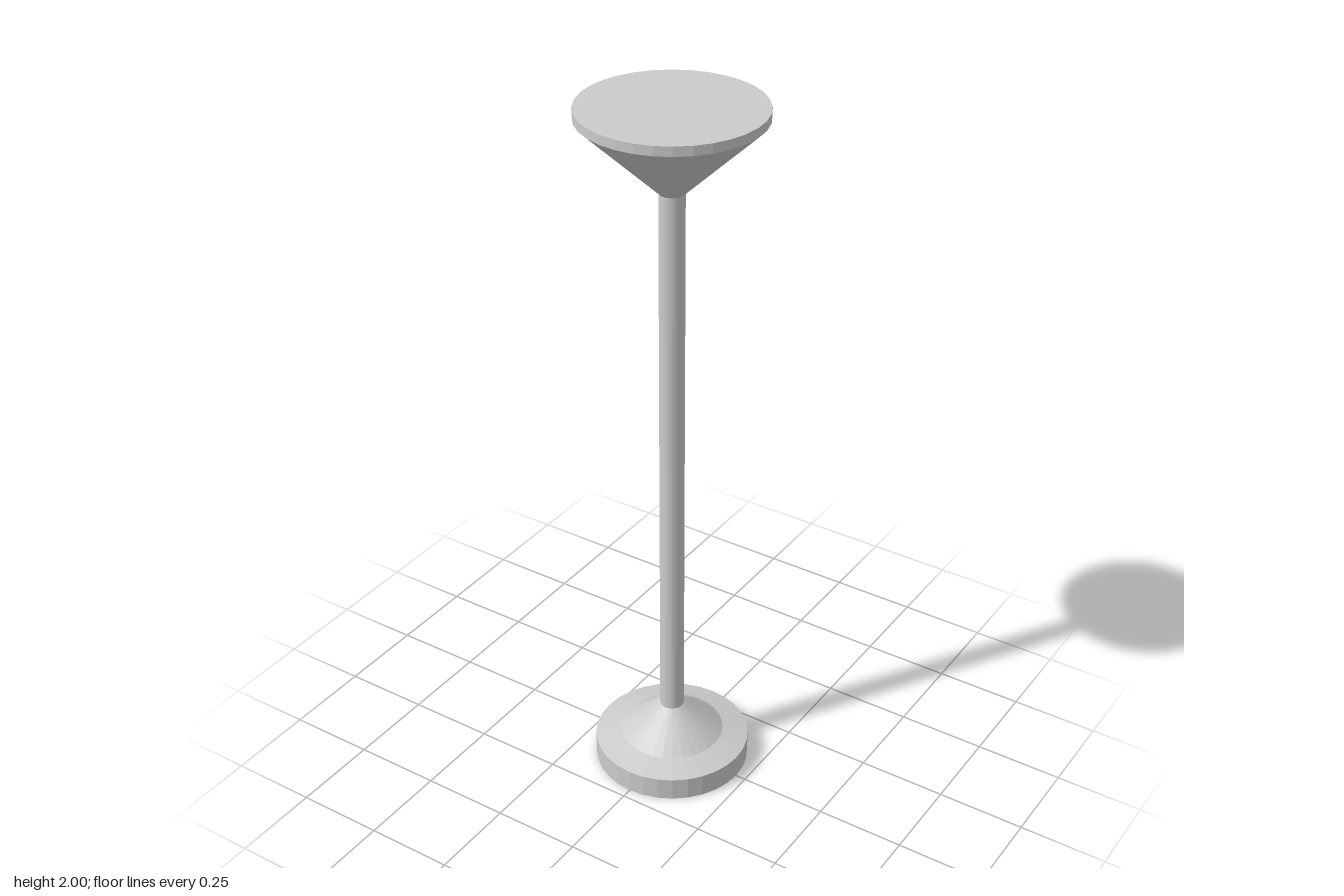
import * as THREE from 'three';

const SIDES = 32;
const POLE_R = 0.034;

export function createModel() {
  const model = new THREE.Group();
  const material = new THREE.MeshStandardMaterial({ color: 0xcccccc, flatShading: true });

  // Turned part from a bottom-to-top profile of [radius, height] points
  const turned = (name, profile) => {
    const points = profile.map(([r, y]) => new THREE.Vector2(r, y));
    const mesh = new THREE.Mesh(new THREE.LatheGeometry(points, SIDES), material);
    mesh.name = name;
    model.add(mesh);
  };

  // Round foot: straight rim, shallow shoulder, then a cone up to the pole
  turned('base', [[0, 0], [0.22, 0], [0.22, 0.067], [0.147, 0.086], [POLE_R, 0.176]]);

  // Slender upright
  turned('pole', [[POLE_R, 0.176], [POLE_R, 1.774]]);

  // Flared head with a thin rim and flat top
  turned('flaredTop', [[POLE_R, 1.774], [0.243, 1.974], [0.243, 2], [0, 2]]);

  return model;
}
